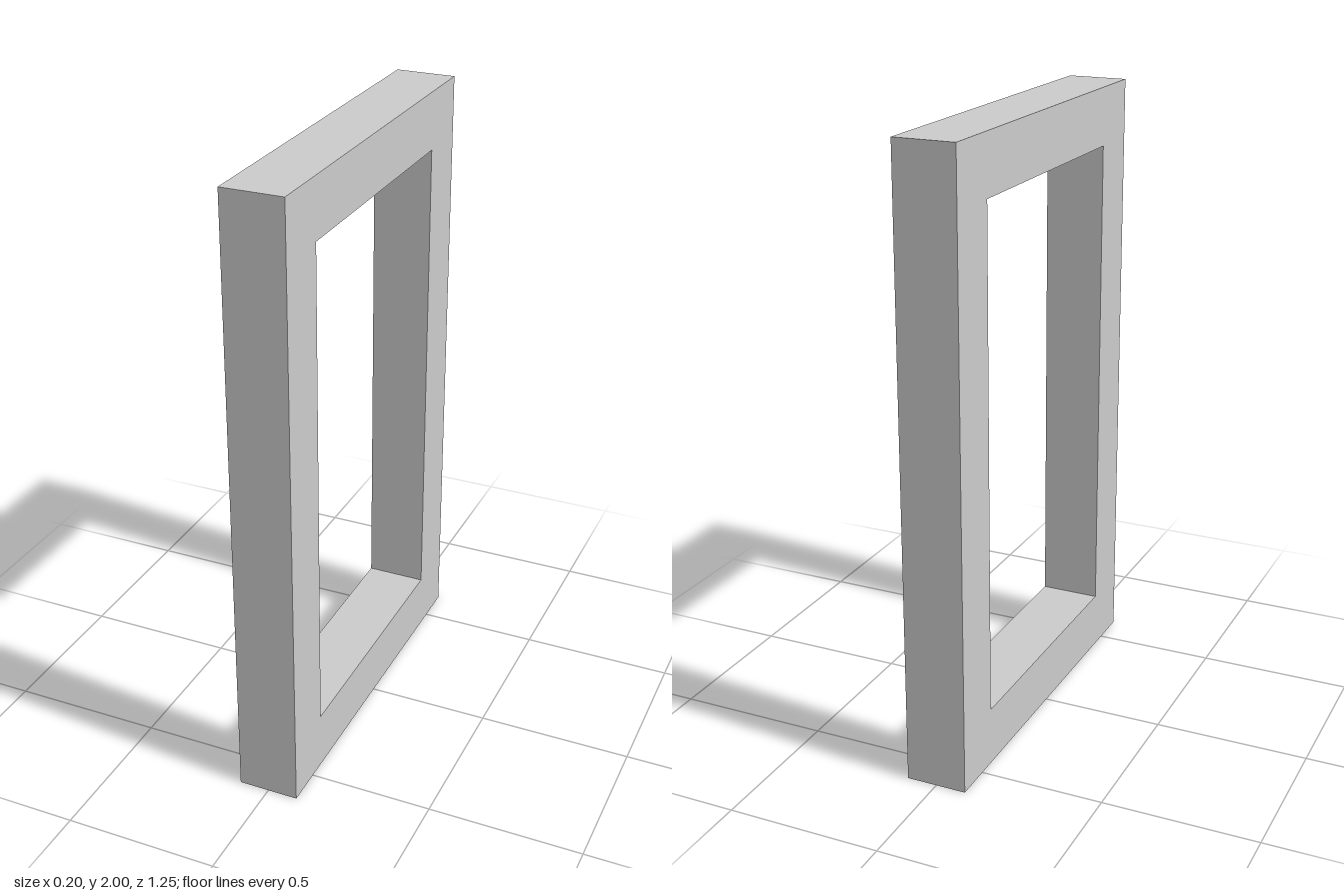
import * as THREE from 'three';

// Rectangle outline, centred across, from y0 to y1
function rect(path, half, y0, y1) {
  path.moveTo(-half, y0);
  path.lineTo(half, y0);
  path.lineTo(half, y1);
  path.lineTo(-half, y1);
  path.closePath();
  return path;
}

export function createModel() {
  const depth = 0.197;
  const group = new THREE.Group();
  group.name = 'rectangularFrame';

  // Frame outline with its opening
  const outline = rect(new THREE.Shape(), 0.624, 0, 2);
  outline.holes.push(rect(new THREE.Path(), 0.436, 0.19, 1.81));

  // Extrude, then turn so the opening faces sideways along x
  const geometry = new THREE.ExtrudeGeometry(outline, { depth, bevelEnabled: false });
  geometry.translate(0, 0, -depth / 2);
  geometry.rotateY(Math.PI / 2);

  const frame = new THREE.Mesh(
    geometry,
    new THREE.MeshStandardMaterial({ color: 0xcccccc, flatShading: true })
  );
  frame.name = 'frame';
  group.add(frame);
  return group;
}
